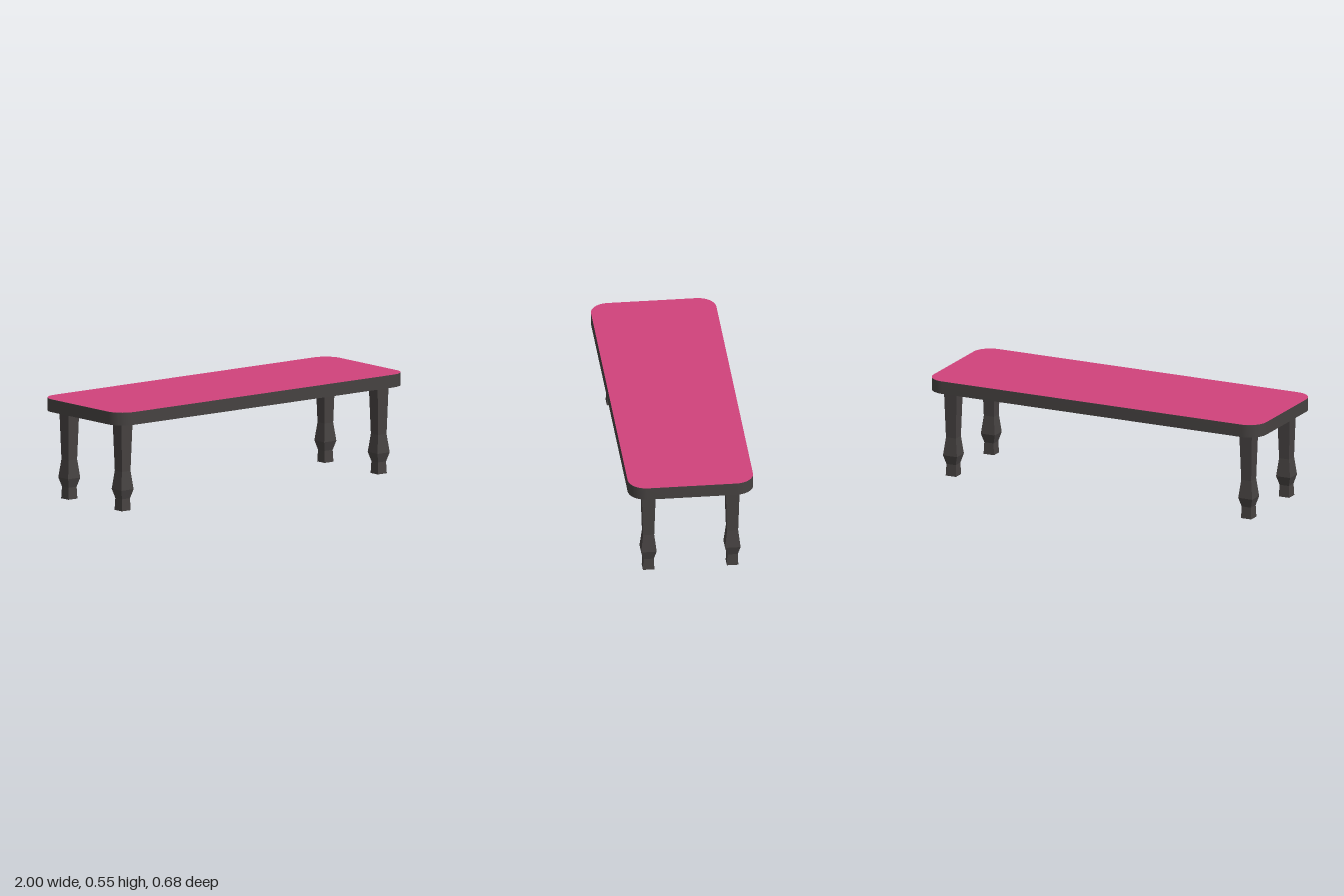
import * as THREE from 'three';
import { toCreasedNormals } from 'three/addons/utils/BufferGeometryUtils.js';

const HALF_X = 1, HALF_Z = 0.339, CORNER = 0.1;
const SLAB_BOTTOM = 0.482, TOP = 0.552;

// Rounded rectangle outline of the seat
function seatOutline() {
  const x = HALF_X, y = HALF_Z, r = CORNER;
  const s = new THREE.Shape();
  s.moveTo(x, -y + r);
  s.lineTo(x, y - r);
  s.absarc(x - r, y - r, r, 0, Math.PI / 2);
  s.absarc(-x + r, y - r, r, Math.PI / 2, Math.PI);
  s.absarc(-x + r, -y + r, r, Math.PI, Math.PI * 1.5);
  s.absarc(x - r, -y + r, r, Math.PI * 1.5, Math.PI * 2);
  return s;
}

// Square leg: [half width, height] pairs swept round four sides
function legGeometry() {
  const profile = [[0, 0], [0.031, 0], [0.028, 0.065], [0.042, 0.115], [0.03, 0.215], [0.038, SLAB_BOTTOM]];
  const points = profile.map(([w, y]) => new THREE.Vector2(w * Math.SQRT2, y));
  const geo = new THREE.LatheGeometry(points, 4).rotateY(Math.PI / 4).toNonIndexed();
  geo.computeVertexNormals();
  return geo;
}

export function createModel() {
  const darkWood = new THREE.MeshStandardMaterial({ color: 0x464241 });
  darkWood.name = 'dark wood';
  const pinkCover = new THREE.MeshStandardMaterial({ color: 0xd0427b });
  pinkCover.name = 'pink cover';

  const model = new THREE.Group();
  model.name = 'bench';
  const add = (name, geo, mat) => {
    const mesh = new THREE.Mesh(geo, mat);
    mesh.name = name;
    model.add(mesh);
    return mesh;
  };

  // Seat slab with rounded corners
  const outline = seatOutline();
  const slab = new THREE.ExtrudeGeometry(outline, {
    depth: TOP - 0.001 - SLAB_BOTTOM, bevelEnabled: false, curveSegments: 8,
  });
  slab.rotateX(-Math.PI / 2).translate(0, SLAB_BOTTOM, 0);
  add('seatSlab', toCreasedNormals(slab, 0.6), darkWood);

  // Coloured face on top of the seat
  const cover = new THREE.ShapeGeometry(outline, 8);
  cover.rotateX(-Math.PI / 2).translate(0, TOP, 0);
  add('seatCover', cover, pinkCover);

  // Four legs
  const leg = legGeometry();
  for (const [side, x] of [['Left', 0.888], ['Right', -0.888]]) {
    for (const [end, z] of [['front', 0.227], ['back', -0.227]]) {
      add(`${end}${side}Leg`, leg, darkWood).position.set(x, 0, z);
    }
  }
  return model;
}
